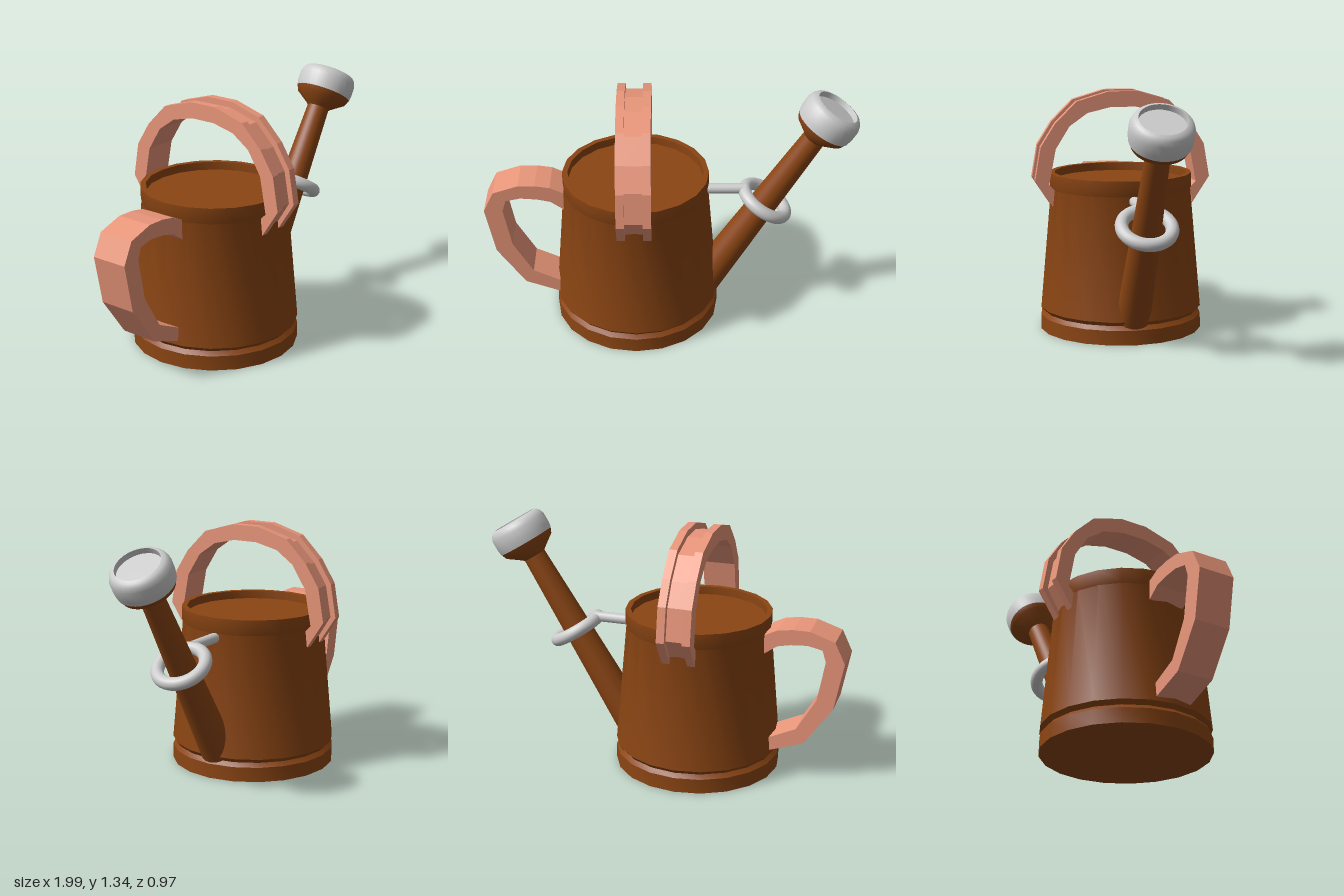
import * as THREE from 'three';
import { toCreasedNormals } from 'three/addons/utils/BufferGeometryUtils.js';

const brown = new THREE.MeshStandardMaterial({ color: 0x8b4513 });
const salmon = new THREE.MeshStandardMaterial({ color: 0xe9967a });
const grey = new THREE.MeshStandardMaterial({ color: 0xcccccc });

const points = (list) => list.map(([x, y]) => new THREE.Vector2(x, y));

function mesh(name, geometry, material, parent) {
  const m = new THREE.Mesh(geometry, material);
  m.name = name;
  parent.add(m);
  return m;
}

const lathe = (profile, sides) =>
  toCreasedNormals(new THREE.LatheGeometry(points(profile), sides), 0.6);

// Flat outline extruded symmetrically about its own plane
function slab(outline, width) {
  const g = new THREE.ExtrudeGeometry(new THREE.Shape(points(outline)), {
    depth: width, bevelEnabled: false,
  });
  return g.translate(0, 0, -width / 2);
}

// Closed arch outline from half profiles running from the foot to the crown
function arch(outer, inner) {
  const mirror = (list) => list.map(([x, y]) => [-x, y]).reverse();
  return [...outer, ...mirror(outer), ...mirror(inner).reverse(), ...[...inner].reverse()];
}

export function createModel() {
  const model = new THREE.Group();
  model.name = 'wateringCan';
  const canX = -0.185;

  // Tapered can with a grooved foot, a rim and a shallow recessed top
  mesh('body', lathe([
    [0, 0], [0.45, 0], [0.449, 0.08], [0.43, 0.102], [0.449, 0.125],
    [0.389, 0.79], [0.394, 0.8], [0.394, 0.875], [0.365, 0.875], [0.365, 0.83], [0, 0.83],
  ], 20), brown, model).position.x = canX;

  // Spout group: local y runs along the spout, origin at the base of the rose
  const spout = new THREE.Group();
  spout.name = 'spout';
  spout.position.set(0.805, 1.158, 0);
  spout.rotation.z = -THREE.MathUtils.degToRad(31.5);
  model.add(spout);
  mesh('spoutTube', lathe([
    [0, -1.2], [0.094, -1.2], [0.062, -0.09], [0.076, -0.078],
    [0.142, -0.03], [0.155, 0], [0, 0],
  ], 32), brown, spout);
  mesh('rose', lathe([
    [0, 0], [0.156, 0], [0.161, 0.03], [0.161, 0.085], [0.152, 0.11], [0.138, 0.126],
    [0.12, 0.132], [0.12, 0.1], [0, 0.1],
  ], 32), grey, spout);

  // Support ring around the spout, held by a short bar
  const ring = mesh('supportRing', new THREE.TorusGeometry(0.13, 0.035, 16, 40), grey, spout);
  ring.position.y = -0.555;
  ring.rotation.x = Math.PI / 2;
  const bar = mesh('supportBar', new THREE.CylinderGeometry(0.028, 0.028, 0.24, 16), grey, model);
  bar.position.set(0.29, 0.766, 0);
  bar.rotation.z = Math.PI / 2;

  // Faceted back handle
  mesh('backHandle', slab([
    [-0.57, 0.805], [-0.64, 0.838], [-0.72, 0.85], [-0.81, 0.85], [-0.945, 0.805],
    [-1, 0.69], [-0.95, 0.43], [-0.8, 0.215], [-0.61, 0.145],
    [-0.61, 0.222], [-0.755, 0.29], [-0.86, 0.47], [-0.9, 0.69], [-0.88, 0.755],
    [-0.8, 0.772], [-0.71, 0.765], [-0.64, 0.75], [-0.57, 0.7],
  ], 0.205), salmon, model);

  // Arched top handle: two raised edge bands and a lower middle band
  const inner = [
    [0.38, 0.79], [0.41, 0.82], [0.373, 1.016], [0.296, 1.14], [0.197, 1.21], [0.07, 1.24],
  ];
  const edge = arch([
    [0.39, 0.7], [0.486, 0.847], [0.454, 1.03], [0.375, 1.155], [0.257, 1.273], [0.08, 1.325],
  ], inner);
  const middle = arch([
    [0.385, 0.735], [0.456, 0.85], [0.425, 1.02], [0.352, 1.135], [0.243, 1.245], [0.075, 1.292],
  ], inner);
  const topHandle = new THREE.Group();
  topHandle.name = 'topHandle';
  topHandle.position.x = -0.189;
  topHandle.rotation.y = Math.PI / 2;
  model.add(topHandle);
  mesh('middleBand', slab(middle, 0.094), salmon, topHandle);
  for (const s of [-1, 1]) {
    mesh('edgeBand', slab(edge, 0.043), salmon, topHandle).position.z = s * 0.0685;
  }

  return model;
}
